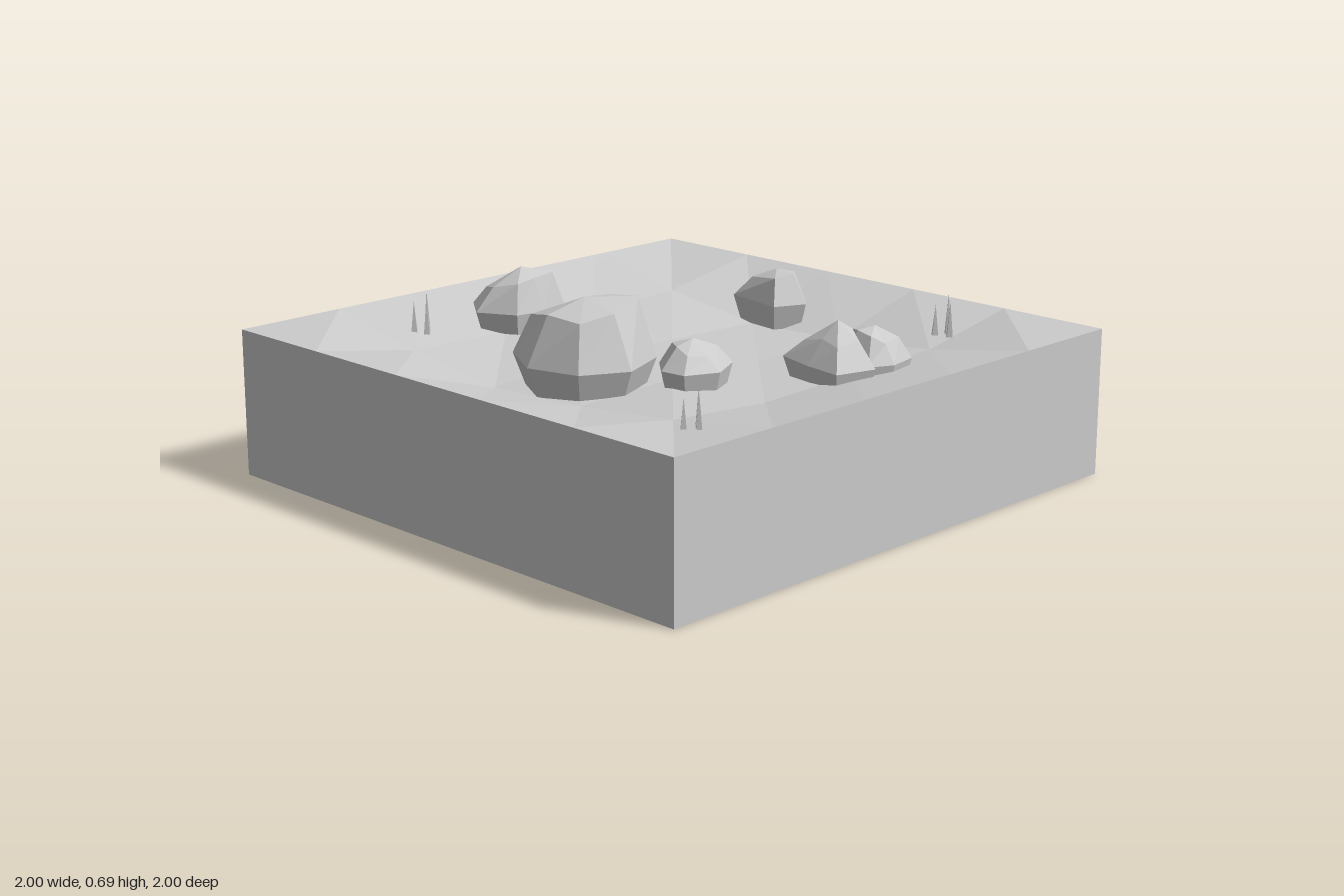
import * as THREE from 'three';

const stone = new THREE.MeshStandardMaterial({ color: 0xcccccc });
stone.name = 'pale grey stone';

// Separate the triangles so that every facet is flat
function flat(geometry) {
  const g = geometry.index ? geometry.toNonIndexed() : geometry;
  g.computeVertexNormals();
  return g;
}

function addMesh(parent, name, geometry) {
  const mesh = new THREE.Mesh(flat(geometry), stone);
  mesh.name = name;
  parent.add(mesh);
  return mesh;
}

// Ground height at the inner grid points; rows run back to front, columns left to right in x
const HEIGHTS = [
  [0.43, 0.38, 0.39, 0.43],
  [0.42, 0.39, 0.39, 0.42],
  [0.42, 0.41, 0.41, 0.41],
  [0.43, 0.38, 0.40, 0.44],
];

function groundGeometry() {
  const g = new THREE.PlaneGeometry(2, 2, 5, 5);
  g.rotateX(-Math.PI / 2);
  g.rotateY(Math.PI / 2);
  const p = g.attributes.position;
  for (let i = 0; i < p.count; i++) {
    const col = Math.round((p.getX(i) + 1) / 0.4) - 1;
    const row = Math.round((p.getZ(i) + 1) / 0.4) - 1;
    p.setY(i, HEIGHTS[row]?.[col] ?? 0.5);
  }
  return g;
}

// Box sides and bottom, open where the ground sits
function baseGeometry() {
  const g = new THREE.BoxGeometry(2, 0.5, 2);
  g.translate(0, 0.25, 0);
  const index = Array.from(g.index.array);
  index.splice(12, 6);
  g.setIndex(index);
  g.clearGroups();
  return g;
}

// Boulder: buried foot, widest outline, uneven shoulder and apex.
// outline entries are [x, z, shoulder height]
function rockGeometry({ apex, outline, waist = 0.47, shoulder = 0.6 }) {
  const [ax, ay, az] = apex;
  const n = outline.length;
  const ring = (scale, y) => outline.map(([x, z, h], i) => {
    const s = typeof scale === 'function' ? scale(i) : scale;
    return [ax + (x - ax) * s, y ?? h, az + (z - az) * s];
  });
  const rings = [
    ring(0.8, 0.37),
    ring(1, waist),
    ring((i) => shoulder + (i % 2 ? 0.06 : -0.04)),
  ];
  const verts = [];
  for (let i = 0; i < n; i++) {
    const j = (i + 1) % n;
    for (let r = 0; r < 2; r++) {
      const lo = rings[r], up = rings[r + 1];
      verts.push(...lo[j], ...lo[i], ...up[i], ...lo[j], ...up[i], ...up[j]);
    }
    verts.push(...rings[2][j], ...rings[2][i], ...apex);
  }
  const g = new THREE.BufferGeometry();
  g.setAttribute('position', new THREE.Float32BufferAttribute(verts, 3));
  return g;
}

const ROCKS = {
  largeRock: {
    apex: [0.04, 0.69, 0.43], shoulder: 0.68, waist: 0.49,
    outline: [[-0.01, 0.21, 0.67], [0.19, 0.26, 0.69], [0.26, 0.44, 0.66], [0.18, 0.59, 0.64],
      [0, 0.64, 0.65], [-0.18, 0.54, 0.62], [-0.16, 0.36, 0.64]],
  },
  smallRock: {
    apex: [0.29, 0.56, 0.2], shoulder: 0.55,
    outline: [[0.27, 0.06, 0.53], [0.35, 0.08, 0.53], [0.41, 0.2, 0.51], [0.36, 0.31, 0.52],
      [0.27, 0.32, 0.54], [0.19, 0.25, 0.54], [0.18, 0.14, 0.54]],
  },
  rightRock: {
    apex: [-0.62, 0.63, 0.11], shoulder: 0.66, waist: 0.49,
    outline: [[-0.66, -0.05, 0.6], [-0.52, 0, 0.61], [-0.51, 0.11, 0.6], [-0.53, 0.21, 0.59],
      [-0.66, 0.28, 0.57], [-0.78, 0.19, 0.55], [-0.77, 0.07, 0.57]],
  },
  backRock: {
    apex: [-0.14, 0.575, -0.66], shoulder: 0.6,
    outline: [[-0.18, -0.8, 0.55], [-0.09, -0.75, 0.56], [0, -0.66, 0.57], [-0.05, -0.55, 0.56],
      [-0.28, -0.59, 0.54], [-0.24, -0.68, 0.55]],
  },
  leftRock: {
    apex: [0.58, 0.605, -0.16], shoulder: 0.55,
    outline: [[0.5, -0.22, 0.56], [0.6, -0.25, 0.57], [0.73, -0.17, 0.55], [0.69, -0.03, 0.54],
      [0.55, -0.05, 0.55], [0.41, -0.09, 0.53]],
  },
  leftRockBehind: {
    apex: [0.64, 0.58, -0.27], shoulder: 0.58,
    outline: [[0.61, -0.4, 0.54], [0.72, -0.36, 0.54], [0.74, -0.25, 0.53], [0.7, -0.17, 0.56],
      [0.6, -0.16, 0.57], [0.53, -0.23, 0.56], [0.53, -0.31, 0.55]],
  },
};

// Blades of a tuft: x offset, z offset, tip height
const BLADES = [[-0.028, 0.015, 0.555], [0, -0.018, 0.59], [0.026, 0.005, 0.57]];

export function createModel() {
  const model = new THREE.Group();
  model.name = 'rockyGroundTile';

  addMesh(model, 'base', baseGeometry());
  addMesh(model, 'ground', groundGeometry());
  for (const [name, rock] of Object.entries(ROCKS)) addMesh(model, name, rockGeometry(rock));

  // Three tufts of thin four-sided blades
  for (const [x, z] of [[0.565, -0.72], [-0.7, 0.48], [0.765, 0.68]]) {
    const tuft = new THREE.Group();
    tuft.name = 'grassTuft';
    for (const [dx, dz, tip] of BLADES) {
      const h = tip - 0.45;
      const blade = addMesh(tuft, 'blade', new THREE.ConeGeometry(0.014, h, 4));
      blade.position.set(x + dx, 0.45 + h / 2, z + dz);
    }
    model.add(tuft);
  }
  return model;
}
